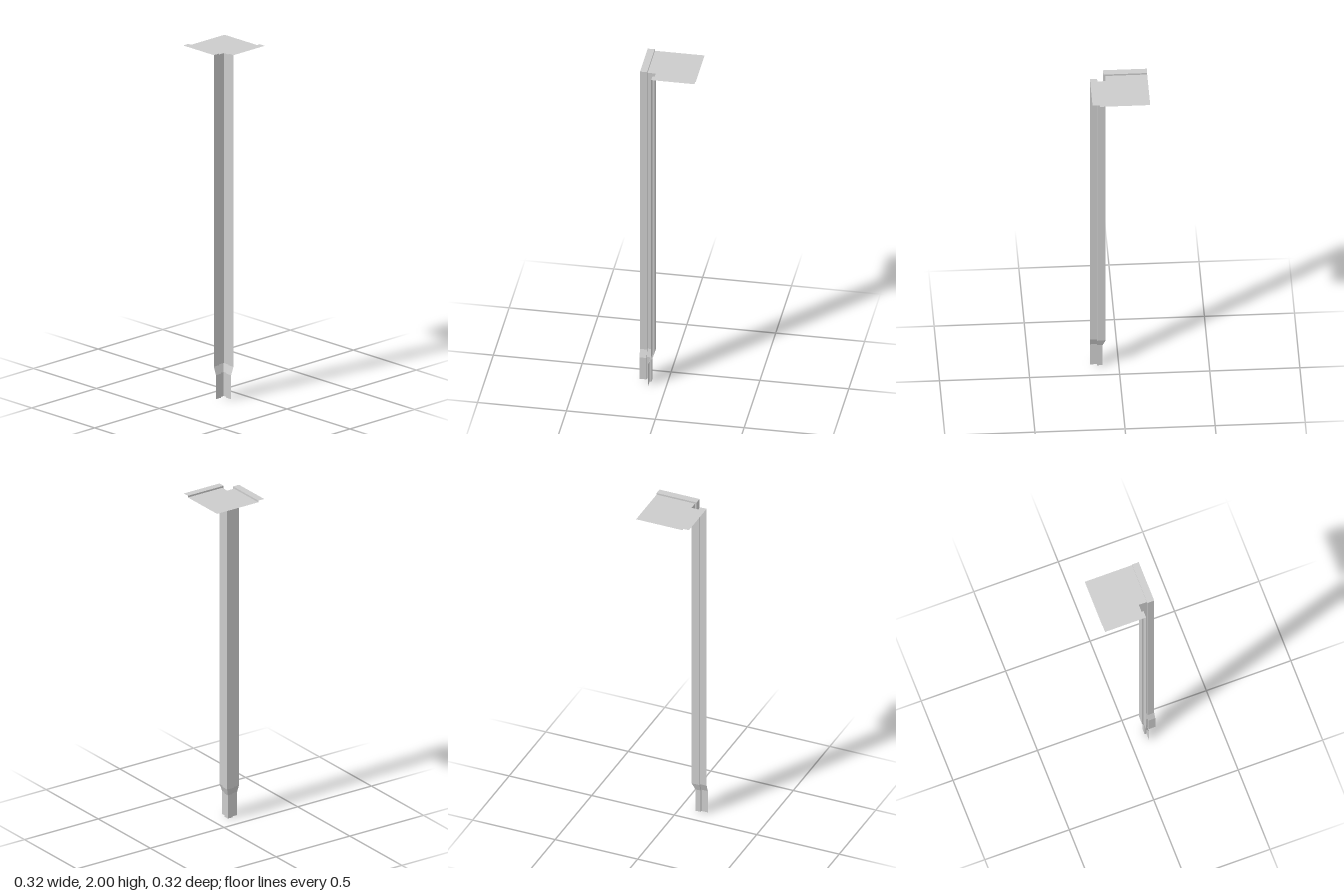
import * as THREE from 'three';

const TOP = 2, ROOF = 1.99;          // raised rim height, roof sheet height
const OUT = 0.16, STEP = 0.12;       // outer edge, line where the rim begins
const INNER = 0.073, OUTER = 0.083;  // post faces either side of the step

const material = new THREE.MeshStandardMaterial({
  color: 0xcccccc, flatShading: true, side: THREE.DoubleSide,
});

// Mesh from four-cornered panels, corners counter-clockwise from outside
function panels(name, quads) {
  const pos = quads.flatMap(([a, b, c, d]) => [a, b, c, a, c, d].flat());
  const g = new THREE.BufferGeometry();
  g.setAttribute('position', new THREE.Float32BufferAttribute(pos, 3));
  g.computeVertexNormals();
  const mesh = new THREE.Mesh(g, material);
  mesh.name = name;
  return mesh;
}

// Swap x and z to mirror a panel across the corner diagonal
const mirror = (quad) => quad.map(([x, y, z]) => [z, y, x]).reverse();

// Stepped L-shaped plan of the post
const plan = (inner, outer) => [
  [outer, OUT], [outer, STEP], [inner, STEP], [inner, inner],
  [STEP, inner], [STEP, outer], [OUT, outer],
];

function post() {
  // Narrow foot, sloping shoulder, long shaft
  const foot = plan(0.089, 0.1), shaft = plan(INNER, OUTER);
  const levels = [[foot, 0], [foot, 0.14], [shaft, 0.185], [shaft, TOP]];
  const quads = [];
  for (let l = 0; l < 3; l++) {
    const [lo, y0] = levels[l], [hi, y1] = levels[l + 1];
    for (let i = 0; i < 6; i++) {
      const top = l === 2 && (i === 2 || i === 3) ? ROOF : y1;
      const at = (p, y) => [p[0], y, p[1]];
      quads.push([at(lo[i], y0), at(lo[i + 1], y0), at(hi[i + 1], top), at(hi[i], top)]);
    }
  }
  return panels('cornerPost', quads);
}

function roof() {
  // Square sheet with a notch over the post
  const outline = [[-OUT, -OUT], [STEP, -OUT], [STEP, INNER], [INNER, INNER], [INNER, STEP], [-OUT, STEP]];
  const shape = new THREE.Shape(outline.map(([x, z]) => new THREE.Vector2(x, -z)));
  const g = new THREE.ShapeGeometry(shape);
  g.rotateX(-Math.PI / 2);
  g.translate(0, ROOF, 0);
  const mesh = new THREE.Mesh(g, material);
  mesh.name = 'roofSheet';
  return mesh;
}

function rims() {
  // Raised strip and the small riser beside it
  const strip = [[STEP, TOP, -OUT], [STEP, TOP, OUTER], [OUT, TOP, OUTER], [OUT, TOP, -OUT]];
  const riser = [[STEP, ROOF, -OUT], [STEP, ROOF, INNER], [STEP, TOP, INNER], [STEP, TOP, -OUT]];
  const half = [strip, riser];
  return panels('roofRims', [...half, ...half.map(mirror)]);
}

export function createModel() {
  const group = new THREE.Group();
  group.name = 'cornerPostWithRoof';
  group.add(post(), roof(), rims());
  return group;
}
